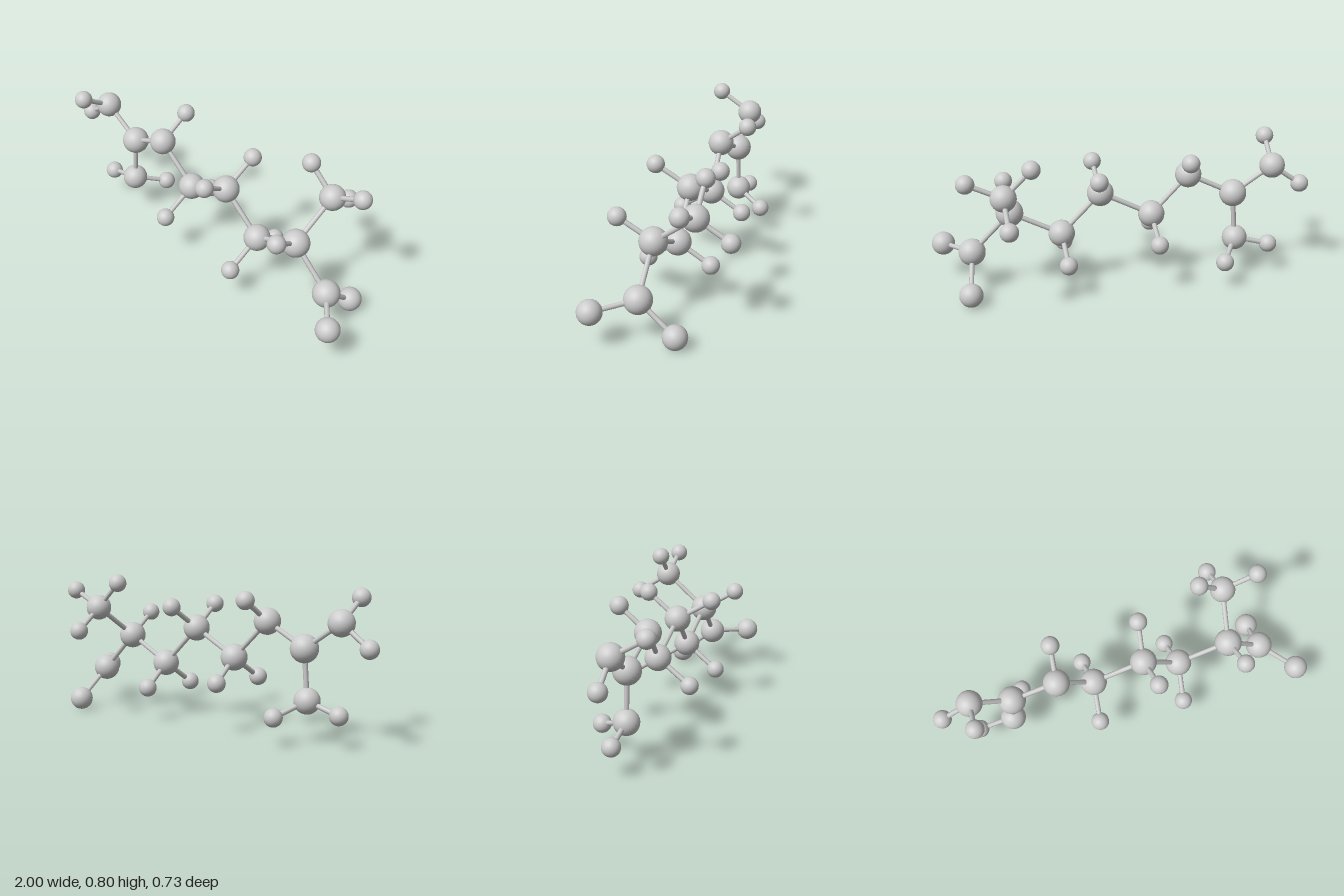
import * as THREE from 'three';

// Chain of large atoms: centre, radius, and the small atoms bonded to each [x, y, z]
const CHAIN = {
  endLeft: { at: [-0.795, 0.63, -0.123], r: 0.068, small: [[-0.82, 0.738, 0.052], [-0.952, 0.518, -0.144]] },
  forkLeft: { at: [-0.586, 0.484, -0.098], r: 0.073, small: [] },
  branchLeft: { at: [-0.606, 0.221, -0.1], r: 0.068, small: [[-0.794, 0.172, -0.13], [-0.497, 0.152, -0.252]] },
  link1: { at: [-0.348, 0.597, -0.047], r: 0.07, small: [[-0.306, 0.716, -0.202]] },
  link2: { at: [-0.147, 0.39, -0.039], r: 0.071, small: [[-0.143, 0.278, -0.209], [-0.193, 0.263, 0.138]] },
  link3: { at: [0.12, 0.519, 0.014], r: 0.071, small: [[0.168, 0.645, -0.155], [0.117, 0.631, 0.199]] },
  link4: { at: [0.331, 0.305, 0.028], r: 0.071, small: [[0.334, 0.191, -0.145], [0.284, 0.175, 0.2]] },
  forkRight: { at: [0.597, 0.432, 0.08], r: 0.073, small: [[0.595, 0.544, 0.261]] },
  branchRight: { at: [0.66, 0.61, -0.145], r: 0.068, small: [[0.517, 0.753, -0.16], [0.842, 0.693, -0.115], [0.664, 0.5, -0.316]] },
  endRight: { at: [0.803, 0.221, 0.101], r: 0.072, small: [[0.933, 0.2, 0.3], [0.843, 0.064, -0.089]], smallR: 0.063 },
};

const BONDS = [
  ['endLeft', 'forkLeft'], ['forkLeft', 'branchLeft'], ['forkLeft', 'link1'],
  ['link1', 'link2'], ['link2', 'link3'], ['link3', 'link4'], ['link4', 'forkRight'],
  ['forkRight', 'branchRight'], ['forkRight', 'endRight'],
];

const SMALL_RADIUS = 0.048;
const BOND_RADIUS = 0.0135;

export function createModel() {
  const model = new THREE.Group();
  model.name = 'ballAndStickMolecule';
  const material = new THREE.MeshStandardMaterial({ color: 0xcccccc });
  const ball = new THREE.SphereGeometry(1, 24, 16);
  const stick = new THREE.CylinderGeometry(1, 1, 1, 8, 1, true);
  const up = new THREE.Vector3(0, 1, 0);

  const addAtom = (parent, name, at, radius) => {
    const mesh = new THREE.Mesh(ball, material);
    mesh.name = name;
    mesh.position.set(...at);
    mesh.scale.setScalar(radius);
    parent.add(mesh);
  };

  // Stick running between two atom centres
  const addBond = (parent, name, from, to) => {
    const a = new THREE.Vector3(...from);
    const b = new THREE.Vector3(...to);
    const mesh = new THREE.Mesh(stick, material);
    mesh.name = name;
    mesh.position.copy(a).lerp(b, 0.5);
    mesh.scale.set(BOND_RADIUS, a.distanceTo(b), BOND_RADIUS);
    mesh.quaternion.setFromUnitVectors(up, b.sub(a).normalize());
    parent.add(mesh);
  };

  // Each large atom with its small atoms
  for (const [name, { at, r, small, smallR = SMALL_RADIUS }] of Object.entries(CHAIN)) {
    const group = new THREE.Group();
    group.name = name;
    addAtom(group, 'largeAtom', at, r);
    small.forEach((p, i) => {
      addAtom(group, `smallAtom${i + 1}`, p, smallR);
      addBond(group, `smallBond${i + 1}`, at, p);
    });
    model.add(group);
  }

  // Backbone
  const backbone = new THREE.Group();
  backbone.name = 'backboneBonds';
  BONDS.forEach(([a, b], i) => addBond(backbone, `chainBond${i + 1}`, CHAIN[a].at, CHAIN[b].at));
  model.add(backbone);

  return model;
}
